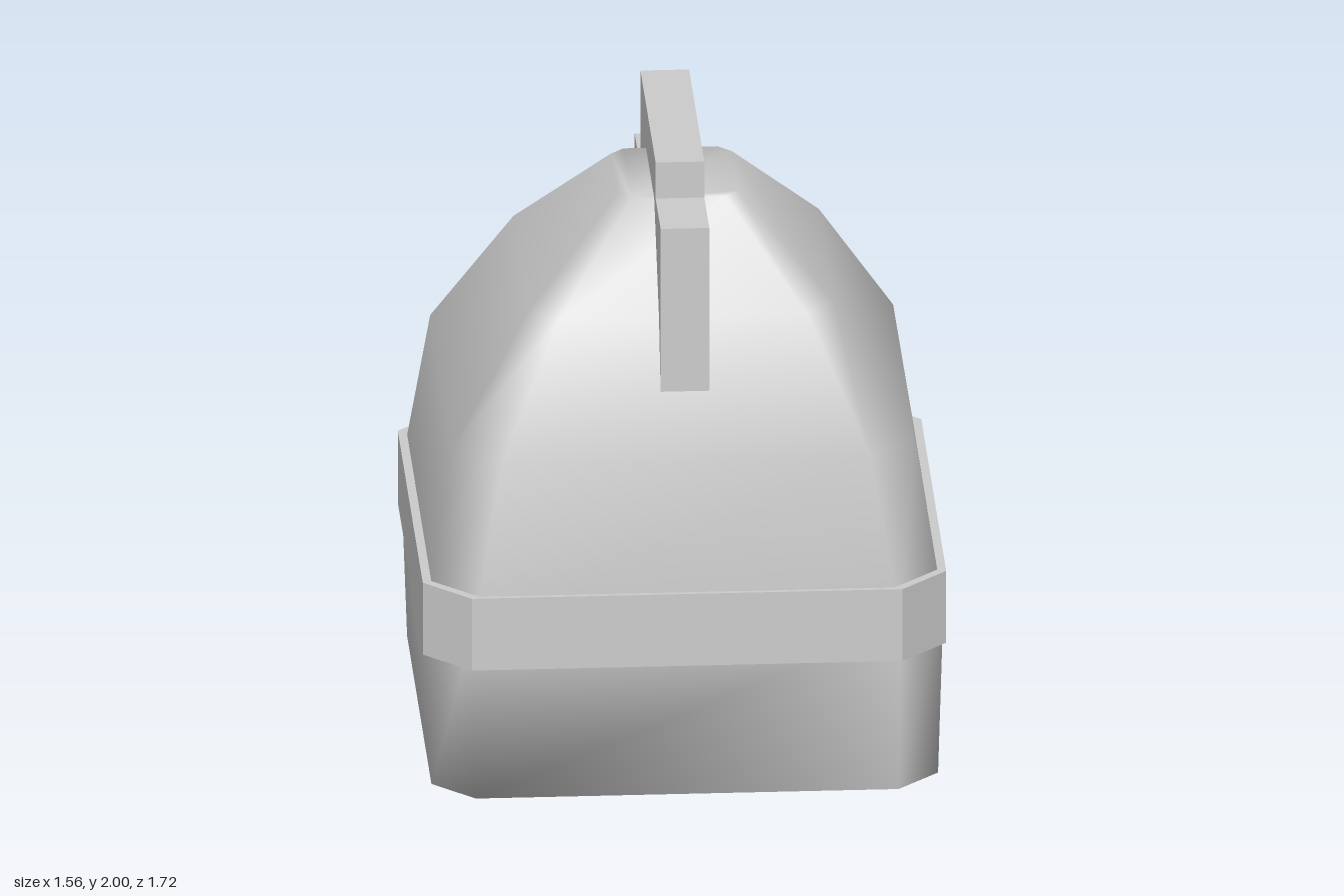
import * as THREE from 'three';

const grey = new THREE.MeshStandardMaterial({ color: 0xcccccc });
const greyFlat = new THREE.MeshStandardMaterial({ color: 0xcccccc, flatShading: true });

// Closed loft through chamfered rectangles: [y, half width, front z, back z, chamfer]
function loft(sections) {
  const pos = [], idx = [], n = 8, top = (sections.length - 1) * n;
  for (const [y, w, f, b, c] of sections) {
    const ring = [
      [-w + c, f], [w - c, f], [w, f - c], [w, b + c],
      [w - c, b], [-w + c, b], [-w, b + c], [-w, f - c],
    ];
    for (const [x, z] of ring) pos.push(x, y, z);
  }
  for (let s = 0; s < top; s += n) {
    for (let i = 0; i < n; i++) {
      const a = s + i, b = s + (i + 1) % n;
      idx.push(a, b, b + n, a, b + n, a + n);
    }
  }
  for (let i = 1; i < n - 1; i++) {
    idx.push(0, i + 1, i, top, top + i, top + i + 1);
  }
  const g = new THREE.BufferGeometry();
  g.setAttribute('position', new THREE.Float32BufferAttribute(pos, 3));
  g.setIndex(idx);
  g.computeVertexNormals();
  return g;
}

export function createModel() {
  const model = new THREE.Group();
  const add = (name, geometry, material = greyFlat) => {
    const mesh = new THREE.Mesh(geometry, material);
    mesh.name = name;
    model.add(mesh);
    return mesh;
  };
  // Box given by its half width and its y and z ranges
  const box = (name, w, y0, y1, z0, z1) =>
    add(name, new THREE.BoxGeometry(2 * w, y1 - y0, z1 - z0))
      .position.set(0, (y0 + y1) / 2, (z0 + z1) / 2);

  // Smooth domed shell
  add('shell', loft([
    [0.12, 0.755, 0.86, -0.58, 0.125],
    [0.645, 0.772, 0.853, -0.622, 0.135],
    [1.17, 0.69, 0.82, -0.535, 0.14],
    [1.57, 0.455, 0.665, -0.26, 0.085],
    [1.86, 0.18, 0.43, 0.03, 0.04],
  ]), grey);

  // Flat band around the shell
  add('band', loft([
    [0.53, 0.78, 0.86, -0.637, 0.138],
    [0.76, 0.78, 0.86, -0.637, 0.138],
  ]));

  // Stepped crest, drawn in (z, y) and extruded across x
  const profile = [
    [0.745, 1.3], [0.745, 1.885], [0.5, 1.885], [0.5, 2], [-0.24, 2],
    [-0.24, 1.685], [-0.525, 1.685], [-0.525, 1.15],
  ].map(([z, y]) => new THREE.Vector2(-z, y));
  const crest = new THREE.ExtrudeGeometry(new THREE.Shape(profile), { depth: 0.145, bevelEnabled: false });
  crest.translate(0, 0, -0.0725).rotateY(Math.PI / 2);
  add('crest', crest);

  // Tilted pack on the back: pivot is its lower inner edge
  const pack = new THREE.BoxGeometry(1, 0.95, 0.37);
  pack.translate(0, 0.475, -0.185).rotateX(0.138);
  add('backPack', pack).position.set(0, 0, -0.49);

  box('packLid', 0.515, 0.91, 1.05, -0.745, -0.5);
  box('packStrip', 0.442, 0.71, 0.87, -0.78, -0.68);

  return model;
}
